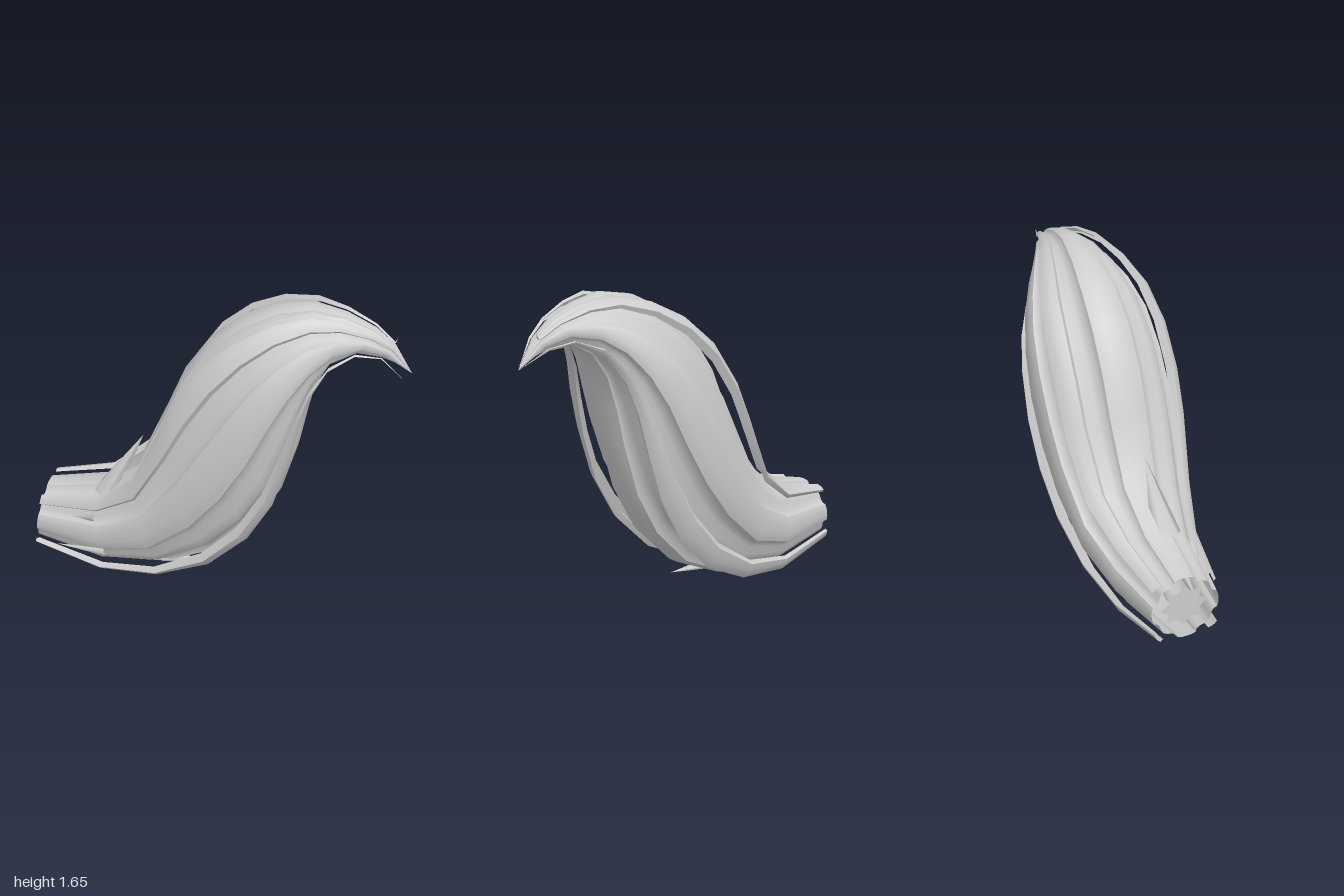
import * as THREE from 'three';

// Sections along the tail: top x, top y, bottom x, bottom y, half width above, half width below
const SECTIONS = [
  [-0.95, 0.44, -1.0, 0.1, 0.185, 0.185], [-0.63, 0.5, -0.62, 0.0, 0.24, 0.24],
  [-0.42, 0.67, -0.28, 0.03, 0.315, 0.295], [-0.27, 1.0, 0.01, 0.15, 0.36, 0.335],
  [-0.18, 1.21, 0.22, 0.35, 0.365, 0.36], [-0.04, 1.41, 0.35, 0.58, 0.355, 0.37],
  [0.12, 1.54, 0.43, 0.85, 0.32, 0.365], [0.3, 1.625, 0.47, 1.05, 0.25, 0.345],
  [0.49, 1.655, 0.51, 1.22, 0.175, 0.29], [0.65, 1.62, 0.58, 1.35, 0.125, 0.2],
  [0.8, 1.55, 0.7, 1.42, 0.085, 0.11], [0.9, 1.47, 0.83, 1.4, 0.045, 0.05],
];
const TIP = [0.99, 1.32, 0];
const LOW_TIP = [0.94, 1.36, 0];

// Cross-sections of the locks as [side, up] in a unit square, running clockwise from the top.
// A repeated point keeps an edge sharp.
const RIDGE = [[-0.28, 0.95], [-0.2, 0.98], [-0.1, 1], [0, 1], [0.1, 1], [0.2, 0.98], [0.28, 0.95]];
const HOLLOW = [[0.28, 0.95], [0.31, 0.85], [0.41, 0.78], [0.56, 0.74], [0.68, 0.68],
  [0.74, 0.56], [0.78, 0.41], [0.85, 0.31], [0.95, 0.28]];
const CORNER = [[0.7, 0.87], [0.79, 0.94], [0.79, 0.94], [0.86, 0.87], [0.91, 0.78],
  [0.94, 0.68], [0.94, 0.68], [0.87, 0.62]];

// Quarter turns of a cross-section: top, left, bottom, right
const TURNS = [([s, u]) => [s, u], ([s, u]) => [u, -s], ([s, u]) => [-s, -u], ([s, u]) => [-u, s]];

// Per turn: ridge name and tip, then corner name, hollow tip and overhanging lock tip
const LOCKS = [
  ['top', TIP, 'upperLeft', TIP, TIP],
  ['left', TIP, 'lowerLeft', LOW_TIP, [0.95, 1.32, 0.07]],
  ['bottom', LOW_TIP, 'lowerRight', LOW_TIP, TIP],
  ['right', TIP, 'upperRight', TIP, [0.91, 1.5, -0.04]],
];

function sectionPoint([tx, ty, bx, by, wTop, wBottom], [s, u]) {
  const k = (1 + u) / 2;
  return [bx + (tx - bx) * k, by + (ty - by) * k, s * (wBottom + (wTop - wBottom) * k)];
}

// Strip that follows the sections and narrows to a point
function lockGeometry(profile, tip) {
  const row = profile.length, last = SECTIONS.length - 1;
  const positions = [], indices = [];
  for (const section of SECTIONS) {
    for (const p of profile) positions.push(...sectionPoint(section, p));
  }
  for (let j = 0; j < row; j++) positions.push(...tip);
  for (let i = 0; i <= last; i++) {
    for (let j = 0; j < row - 1; j++) {
      const a = i * row + j;
      indices.push(a, a + 1, a + row);
      if (i < last) indices.push(a + 1, a + row + 1, a + row);
    }
  }
  const g = new THREE.BufferGeometry();
  g.setAttribute('position', new THREE.Float32BufferAttribute(positions, 3));
  g.setIndex(indices);
  g.computeVertexNormals();
  return g;
}

export function createModel() {
  const tail = new THREE.Group();
  tail.name = 'bushyTail';
  const fur = new THREE.MeshStandardMaterial({ color: 0xcccccc, side: THREE.DoubleSide });
  const add = (name, geometry) => {
    const mesh = new THREE.Mesh(geometry, fur);
    mesh.name = name;
    tail.add(mesh);
    return mesh;
  };

  // Four ridges, the hollows between them, and the locks that overhang the hollows
  LOCKS.forEach(([side, ridgeTip, corner, hollowTip, cornerTip], k) => {
    add(side + 'Ridge', lockGeometry(RIDGE.map(TURNS[k]), ridgeTip));
    add(corner + 'Hollow', lockGeometry(HOLLOW.map(TURNS[k]), hollowTip));
    add(corner + 'Lock', lockGeometry(CORNER.map(TURNS[k]), cornerTip));
  });

  // Small ragged closure inside the root
  const star = new THREE.Shape();
  for (let i = 0; i < 16; i++) {
    const a = (i / 16) * Math.PI * 2, r = i % 2 ? 0.09 : 0.13;
    star[i ? 'lineTo' : 'moveTo'](r * Math.cos(a), r * Math.sin(a));
  }
  const cap = add('rootCap', new THREE.ShapeGeometry(star));
  cap.position.set(-0.96, 0.27, 0);
  cap.rotation.y = -Math.PI / 2;

  // Loose pointed tufts: name, base, tip, base radius, stretch across z
  const tufts = [
    ['topTuft', [-0.61, 0.44, 0.06], [-0.4, 0.81, 0.03], 0.07, 1.2],
    ['bottomTuft', [-0.3, 0.06, 0.05], [-0.02, 0.06, 0.06], 0.03, 1.6],
    ['leftLowTuft', [-0.6, 0.13, 0.18], [-0.88, 0.12, 0.15], 0.025, 1],
    ['leftHighTuft', [-0.65, 0.36, 0.18], [-0.83, 0.32, 0.16], 0.035, 1],
  ];
  for (const [name, base, tip, radius, stretch] of tufts) {
    const from = new THREE.Vector3(...base), to = new THREE.Vector3(...tip);
    const dir = to.clone().sub(from);
    const cone = new THREE.ConeGeometry(radius, dir.length(), 6);
    cone.scale(1, 1, stretch);
    const tuft = add(name, cone);
    tuft.position.copy(from).add(to).multiplyScalar(0.5);
    tuft.quaternion.setFromUnitVectors(new THREE.Vector3(0, 1, 0), dir.normalize());
  }
  return tail;
}
